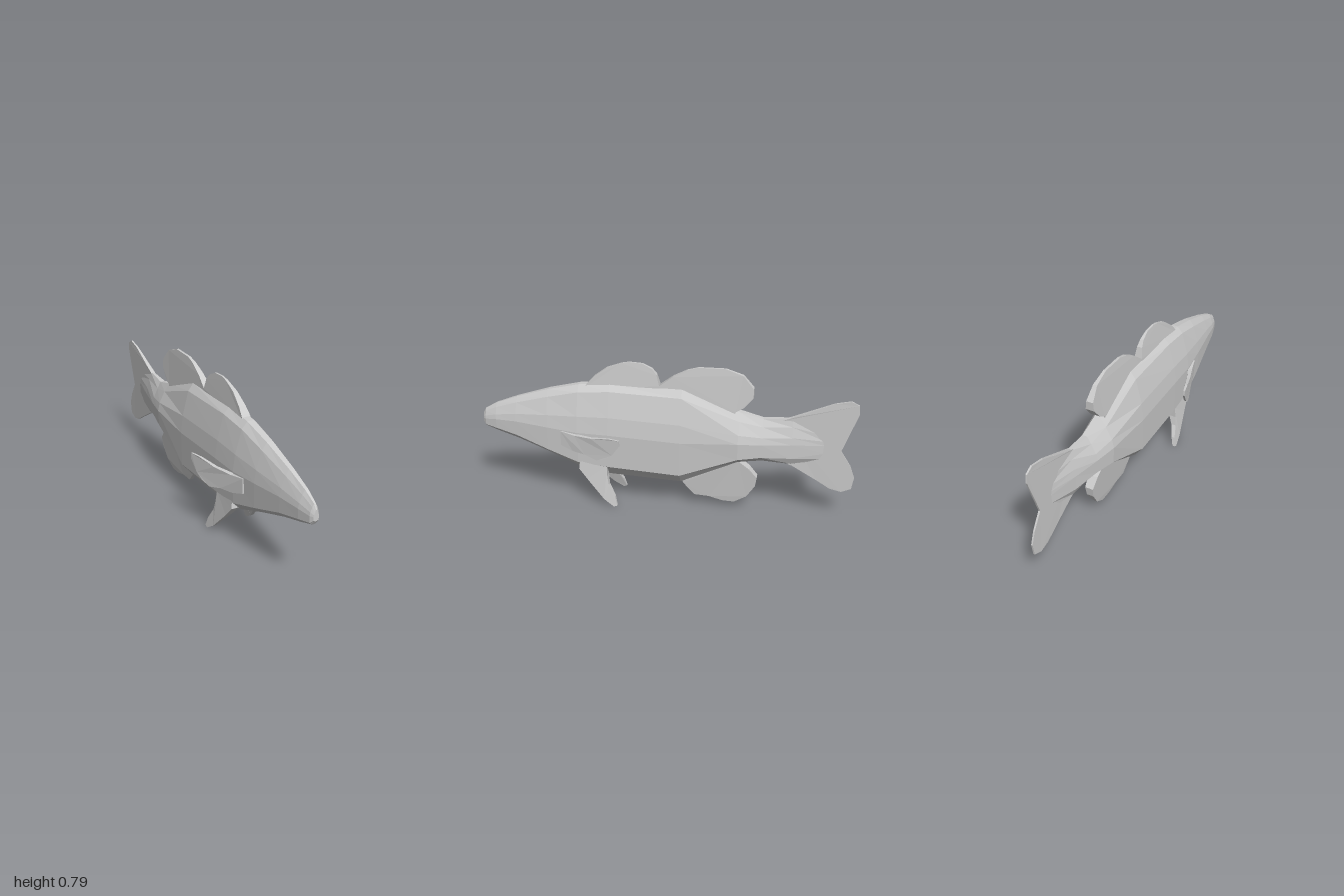
import * as THREE from 'three';

const material = new THREE.MeshStandardMaterial({ color: 0xcccccc, flatShading: true, side: THREE.DoubleSide });

// Linear interpolation through [key, value] pairs with ascending keys.
function ramp(pairs) {
  return (k) => {
    if (k <= pairs[0][0]) return pairs[0][1];
    for (let i = 1; i < pairs.length; i++) {
      const [k0, v0] = pairs[i - 1], [k1, v1] = pairs[i];
      if (k <= k1) return v0 + (v1 - v0) * (k - k0) / (k1 - k0);
    }
    return pairs[pairs.length - 1][1];
  };
}

function addMesh(group, name, geometry) {
  const mesh = new THREE.Mesh(geometry, material);
  mesh.name = name;
  group.add(mesh);
}

// Body stations: z, top, shoulder, lower edge, bottom, half width
const stations = [
  [1.0, 0.45, 0.44, 0.40, 0.395, 0.014],
  [0.985, 0.475, 0.46, 0.385, 0.372, 0.024],
  [0.92, 0.512, 0.49, 0.375, 0.35, 0.04],
  [0.8, 0.558, 0.53, 0.35, 0.315, 0.058],
  [0.62, 0.615, 0.58, 0.29, 0.25, 0.08],
  [0.45, 0.655, 0.62, 0.235, 0.178, 0.094],
  [0.28, 0.668, 0.635, 0.222, 0.146, 0.097],
  [-0.1, 0.665, 0.625, 0.205, 0.135, 0.095],
  [-0.4, 0.562, 0.52, 0.322, 0.283, 0.089],
  [-0.52, 0.532, 0.495, 0.335, 0.298, 0.066],
  [-0.67, 0.545, 0.5, 0.33, 0.284, 0.036],
  [-0.84, 0.5, 0.46, 0.36, 0.32, 0.006],
];

function bodyGeometry() {
  const positions = [], index = [];
  let count = 0;
  for (const [z, top, shoulder, lower, bottom, w] of stations) {
    const half = [
      [w * 0.2, top], [w * 0.52, shoulder],
      [w * 0.88, shoulder + (lower - shoulder) * 0.32],
      [w, shoulder + (lower - shoulder) * 0.55],
      [w * 0.95, lower], [w * 0.48, bottom + (lower - bottom) * 0.22],
    ];
    const ring = [...half, [0, bottom], ...half.slice().reverse().map(([x, y]) => [-x, y])];
    count = ring.length;
    for (const [x, y] of ring) positions.push(x, y, z);
  }
  for (let s = 0; s < stations.length - 1; s++) {
    for (let i = 0; i < count; i++) {
      const j = (i + 1) % count, a = s * count + i, b = s * count + j;
      index.push(a, b, b + count, a, b + count, a + count);
    }
  }
  // Snout and tail caps
  const last = (stations.length - 1) * count;
  for (let i = 1; i < count - 1; i++) {
    index.push(0, i + 1, i, last, last + i, last + i + 1);
  }
  const geo = new THREE.BufferGeometry();
  geo.setAttribute('position', new THREE.Float32BufferAttribute(positions, 3));
  geo.setIndex(index);
  const flat = geo.toNonIndexed();
  flat.computeVertexNormals();
  return flat;
}

// Slab over a [z, y] outline; thickness and sideways offset vary over it.
function finGeometry(outline, thickness, offset = () => 0) {
  const shape = new THREE.Shape(outline.map(([z, y]) => new THREE.Vector2(z, y)));
  const geo = new THREE.ExtrudeGeometry(shape, { depth: 1, bevelEnabled: false });
  const p = geo.attributes.position;
  for (let i = 0; i < p.count; i++) {
    const z = p.getX(i), y = p.getY(i), t = 1 - 2 * p.getZ(i);
    p.setXYZ(i, offset(z, y) + t * thickness(z, y), y, z);
  }
  geo.computeVertexNormals();
  return geo;
}

export function createModel() {
  const fish = new THREE.Group();
  fish.name = 'fish';
  addMesh(fish, 'body', bodyGeometry());

  // Fins on the centre line
  const dorsal = ramp([[0.64, 0.026], [0.74, 0.013], [0.79, 0.005]]);
  addMesh(fish, 'frontDorsalFin', finGeometry([
    [0.43, 0.63], [0.4, 0.668], [0.37, 0.70], [0.3, 0.752], [0.22, 0.782], [0.18, 0.79],
    [0.11, 0.786], [0.06, 0.762], [0.035, 0.73], [0.02, 0.675], [0.02, 0.6],
  ], (z, y) => dorsal(y)));
  const rearDorsal = ramp([[0.53, 0.03], [0.66, 0.022], [0.74, 0.013], [0.79, 0.006]]);
  addMesh(fish, 'rearDorsalFin', finGeometry([
    [0.02, 0.6], [0.02, 0.675], [-0.05, 0.728], [-0.12, 0.765], [-0.18, 0.783], [-0.32, 0.785],
    [-0.41, 0.755], [-0.465, 0.69], [-0.465, 0.645], [-0.42, 0.59], [-0.38, 0.565], [-0.36, 0.53],
  ], (z, y) => rearDorsal(y)));
  const anal = ramp([[0.03, 0.006], [0.08, 0.013], [0.16, 0.02], [0.3, 0.03]]);
  addMesh(fish, 'analFin', finGeometry([
    [-0.1, 0.16], [-0.11, 0.128], [-0.17, 0.06], [-0.25, 0.056], [-0.32, 0.036], [-0.385, 0.034],
    [-0.45, 0.075], [-0.495, 0.145], [-0.502, 0.195], [-0.46, 0.245], [-0.4, 0.29], [-0.36, 0.32],
  ], (z, y) => anal(y)));
  const tail = ramp([[-1, 0.004], [-0.85, 0.006], [-0.67, 0.012]]);
  addMesh(fish, 'tailFin', finGeometry([
    [-0.62, 0.53], [-0.67, 0.55], [-0.78, 0.598], [-0.87, 0.637], [-0.95, 0.655], [-0.99, 0.635],
    [-0.995, 0.59], [-0.922, 0.38], [-0.975, 0.3], [-1, 0.235], [-0.99, 0.17], [-0.94, 0.148],
    [-0.88, 0.162], [-0.81, 0.205], [-0.68, 0.28], [-0.62, 0.3],
  ], (z) => tail(z)));

  // Paired fins
  const pectoralX = ramp([[0.2, 0.184], [0.28, 0.163], [0.36, 0.137], [0.46, 0.1], [0.55, 0.075]]);
  const pectoralT = ramp([[0.2, 0.005], [0.35, 0.009], [0.5, 0.014]]);
  const pelvicX = ramp([[0, 0.12], [0.07, 0.104], [0.14, 0.086], [0.22, 0.066]]);
  const pelvicT = ramp([[0, 0.007], [0.1, 0.011], [0.2, 0.024]]);
  for (const [side, s] of [['left', 1], ['right', -1]]) {
    addMesh(fish, side + 'PectoralFin', finGeometry([
      [0.54, 0.41], [0.46, 0.4], [0.36, 0.406], [0.26, 0.424], [0.2, 0.424], [0.197, 0.395],
      [0.24, 0.335], [0.28, 0.305], [0.33, 0.287], [0.4, 0.305], [0.47, 0.308], [0.54, 0.33],
    ], (z) => pectoralT(z), (z) => s * pectoralX(z)));
    addMesh(fish, side + 'PelvicFin', finGeometry([
      [0.44, 0.24], [0.445, 0.2], [0.4, 0.145], [0.36, 0.1], [0.305, 0.04], [0.25, 0.003],
      [0.232, 0.01], [0.245, 0.06], [0.28, 0.12], [0.29, 0.17], [0.29, 0.23],
    ], (z, y) => pelvicT(y), (z, y) => s * pelvicX(y)));
  }
  return fish;
}
